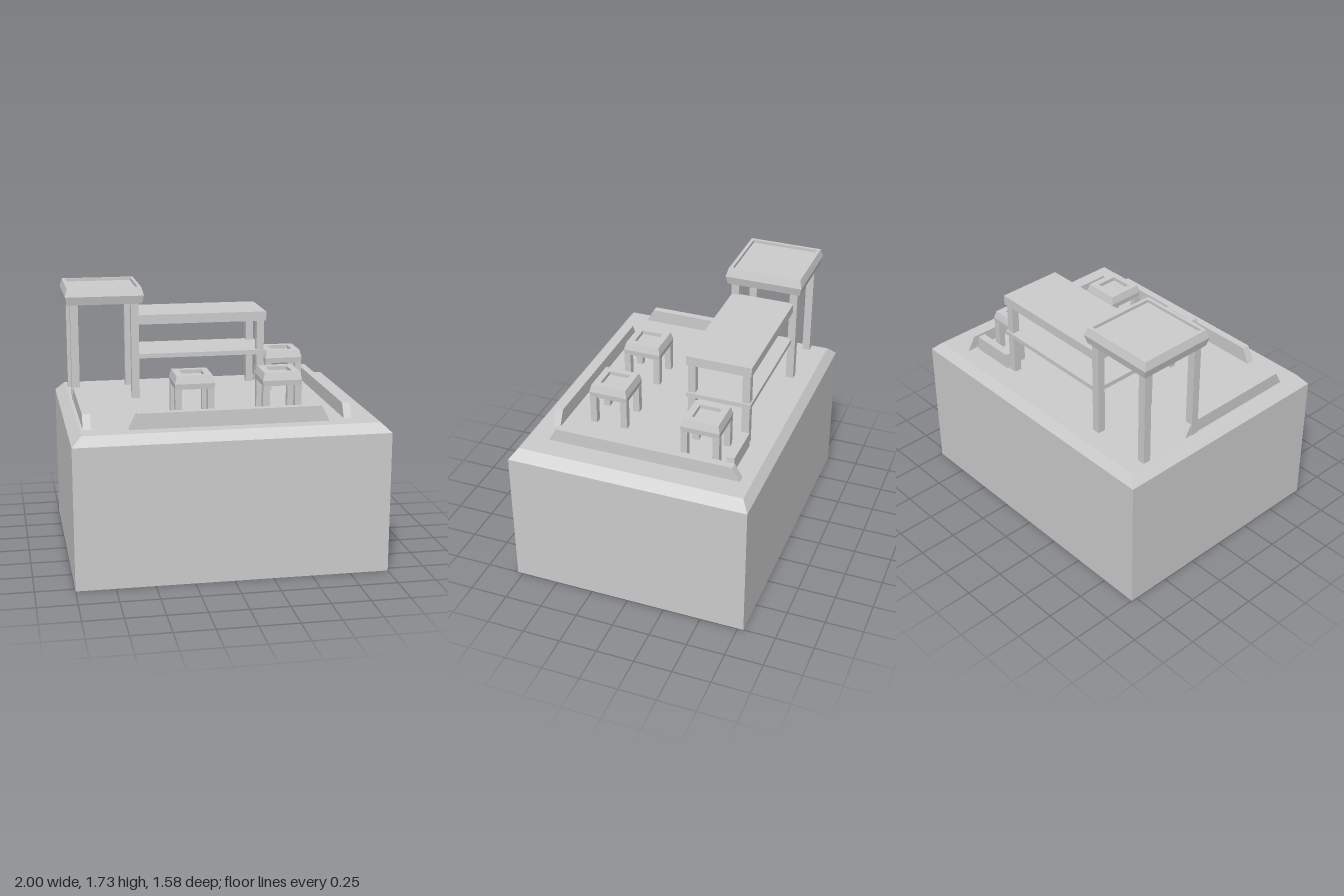
import * as THREE from 'three';

const GROUND = 0.975;
const grey = new THREE.MeshStandardMaterial({ color: 0xcccccc, flatShading: true });
const greyDouble = new THREE.MeshStandardMaterial({ color: 0xcccccc, flatShading: true, side: THREE.DoubleSide });

// Rectangular rings [halfX, halfZ, y] joined bottom to top; the last ring is capped
function loft(rings, capBottom = true) {
  const corners = [[1, 1], [1, -1], [-1, -1], [-1, 1]];
  const pos = [];
  const index = [];
  for (const [hx, hz, y] of rings) for (const [sx, sz] of corners) pos.push(sx * hx, y, sz * hz);
  const quad = (a, b, c, d) => index.push(a, b, c, a, c, d);
  for (let i = 0; i < rings.length - 1; i++) {
    for (let j = 0; j < 4; j++) {
      const a = i * 4 + j, b = i * 4 + (j + 1) % 4;
      quad(a, b, b + 4, a + 4);
    }
  }
  const t = (rings.length - 1) * 4;
  quad(t, t + 1, t + 2, t + 3);
  if (capBottom) quad(3, 2, 1, 0);
  let geo = new THREE.BufferGeometry();
  geo.setAttribute('position', new THREE.Float32BufferAttribute(pos, 3));
  geo.setIndex(index);
  geo = geo.toNonIndexed();
  geo.computeVertexNormals();
  return geo;
}

function addMesh(parent, name, geo, material = grey) {
  const mesh = new THREE.Mesh(geo, material);
  mesh.name = name;
  parent.add(mesh);
  return mesh;
}

// Box given by its minimum and maximum on each axis
function addBox(parent, name, [x0, x1], [y0, y1], [z0, z1]) {
  const mesh = addMesh(parent, name, new THREE.BoxGeometry(x1 - x0, y1 - y0, z1 - z0));
  mesh.position.set((x0 + x1) / 2, (y0 + y1) / 2, (z0 + z1) / 2);
  return mesh;
}

// Square table with a bevelled, recessed top and four legs
function addTable(parent, name, x, z, p) {
  const table = new THREE.Group();
  table.name = name;
  table.position.set(x, 0, z);
  addMesh(table, name + 'Top', loft([
    [p.bottom, p.bottom, p.y0], [p.mid, p.mid, p.yMid], [p.top, p.top, p.y1],
    [p.recess, p.recess, p.y1], [p.recess, p.recess, p.y1 - p.depth],
  ]));
  for (const sx of [-1, 1]) {
    for (const sz of [-1, 1]) {
      const leg = addMesh(table, name + 'Leg', new THREE.BoxGeometry(p.leg, p.y0 - GROUND, p.leg));
      leg.position.set(sx * p.legAt, (p.y0 + GROUND) / 2, sz * p.legAt);
    }
  }
  parent.add(table);
}

// Low wall along x or z whose ends slope inwards towards the top
function addCurb(parent, name, axis, [a, b], across, slope, height) {
  const half = (b - a) / 2, t = 0.025, y1 = GROUND + height;
  const geo = axis === 'x'
    ? loft([[half, t, GROUND], [half - slope, t, y1]])
    : loft([[t, half, GROUND], [t, half - slope, y1]]);
  const mesh = addMesh(parent, name, geo);
  const mid = (a + b) / 2;
  mesh.position.set(axis === 'x' ? mid : across, 0, axis === 'x' ? across : mid);
}

export function createModel() {
  const model = new THREE.Group();
  model.name = 'terrace';

  // Hollow block with a bevelled top, open underneath
  addMesh(model, 'base', loft([[1, 0.788, 0], [1, 0.788, 0.915], [0.937, 0.74, GROUND]], false), greyDouble);

  // Tall corner table
  addTable(model, 'tallTable', -0.695, -0.399, {
    bottom: 0.247, mid: 0.26, top: 0.245, recess: 0.223, depth: 0.02,
    y0: 1.62, yMid: 1.675, y1: 1.73, leg: 0.052, legAt: 0.201,
  });

  // Counter with a shelf, carried by the tall table and two legs
  const counter = new THREE.Group();
  counter.name = 'counter';
  addBox(counter, 'counterTop', [-0.48, 0.4], [1.475, 1.538], [-0.6, -0.175]);
  addBox(counter, 'counterShelf', [-0.48, 0.4], [1.245, 1.275], [-0.6, -0.175]);
  for (const z of [-0.565, -0.207]) {
    addBox(counter, 'counterLeg', [0.337, 0.386], [GROUND, 1.475], [z - 0.025, z + 0.025]);
  }
  model.add(counter);

  // Stools
  for (const [x, z] of [[-0.193, 0.316], [0.373, 0.316], [0.538, -0.365]]) {
    addTable(model, 'stool', x, z, {
      bottom: 0.125, mid: 0.128, top: 0.115, recess: 0.071, depth: 0.025,
      y0: 1.165, yMid: 1.2, y1: 1.25, leg: 0.044, legAt: 0.104,
    });
  }

  // Low border walls
  addCurb(model, 'frontCurb', 'x', [-0.635, 0.63], 0.623, 0.05, 0.1);
  addCurb(model, 'backCurb', 'x', [0.4, 0.715], -0.578, 0.012, 0.1);
  addCurb(model, 'leftSideCurb', 'z', [-0.668, 0.602], 0.761, 0.05, 0.09);
  addCurb(model, 'rightSideCurb', 'z', [-0.27, 0.602], -0.891, 0.05, 0.09);

  return model;
}
